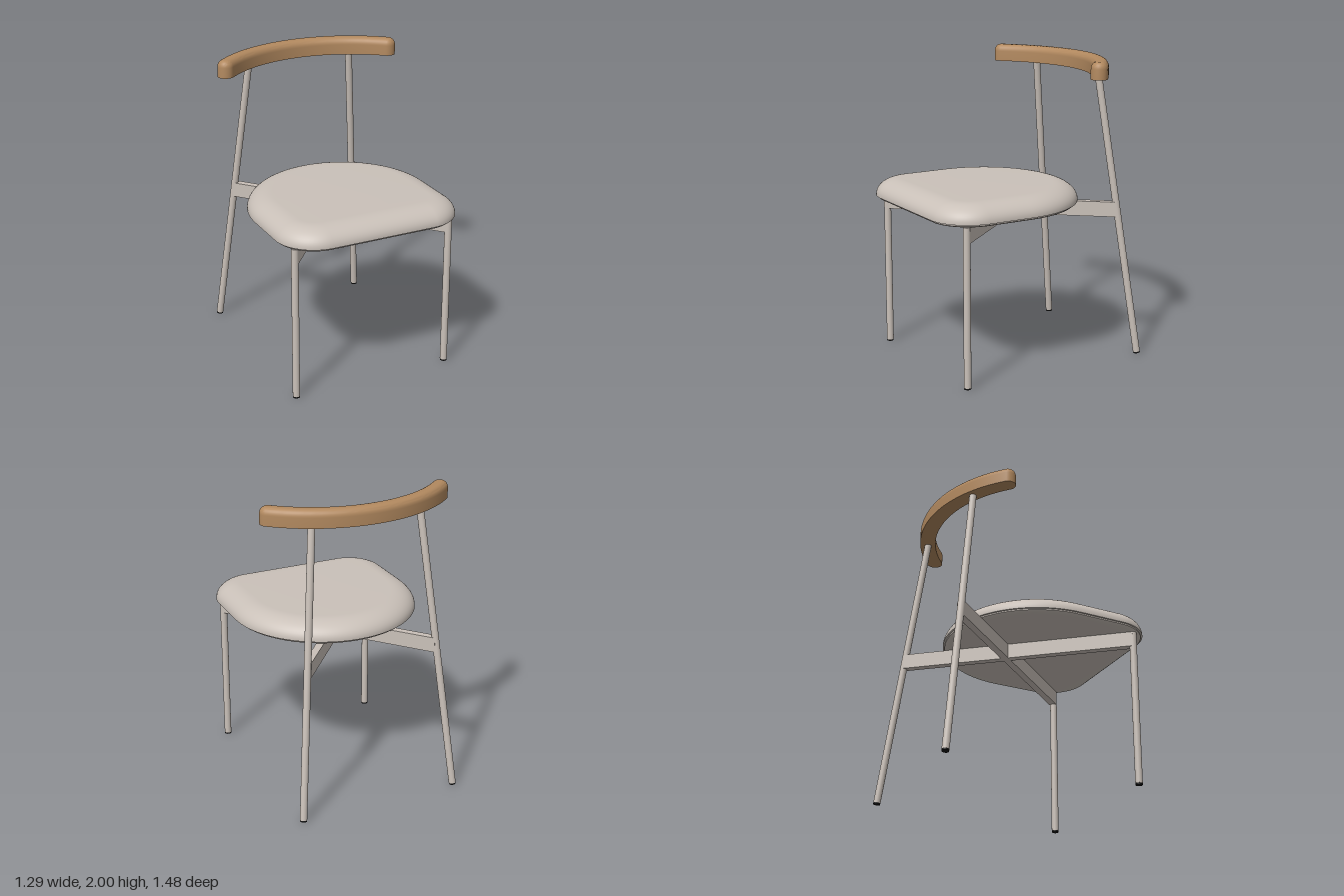
import * as THREE from 'three';
import { toCreasedNormals } from 'three/addons/utils/BufferGeometryUtils.js';

const mat = (name, color) => new THREE.MeshStandardMaterial({ name, color });

// Points on an arc in the xz plane, without its last point
function arc(cx, cz, r, a0, a1, n) {
  return Array.from({ length: n }, (_, i) => {
    const a = a0 + ((a1 - a0) * i) / n;
    return new THREE.Vector2(cx + r * Math.cos(a), cz + r * Math.sin(a));
  });
}

// Solid made of stacked outlines; profile holds [inset, y] from bottom to top
function loft(outline, profile) {
  const rings = profile.map(([inset]) => outline(inset));
  const n = rings[0].length;
  const pos = [], index = [];
  rings.forEach((ring, k) => ring.forEach((p) => pos.push(p.x, profile[k][1], p.y)));
  for (let k = 0; k < rings.length - 1; k++) {
    for (let j = 0; j < n; j++) {
      const a = k * n + j, b = k * n + ((j + 1) % n);
      index.push(a, a + n, b, b, a + n, b + n);
    }
  }
  for (const [k, up] of [[0, false], [rings.length - 1, true]]) {
    const ring = rings[k];
    for (const [a, b, c] of THREE.ShapeUtils.triangulateShape(ring, [])) {
      const turn = ring[b].clone().sub(ring[a]).cross(ring[c].clone().sub(ring[a]));
      const tri = (turn < 0) === up ? [a, b, c] : [a, c, b];
      index.push(...tri.map((i) => i + k * n));
    }
  }
  const geo = new THREE.BufferGeometry();
  geo.setAttribute('position', new THREE.Float32BufferAttribute(pos, 3));
  geo.setIndex(index);
  return toCreasedNormals(geo, 0.6);
}

// Quarter-ellipse shoulder from [0, y0] to [w, y1]
function shoulder(w, y0, y1, n) {
  return Array.from({ length: n + 1 }, (_, i) => {
    const a = (i / n) * Math.PI / 2;
    return [w * (1 - Math.cos(a)), y0 + (y1 - y0) * Math.sin(a)];
  });
}

export function createModel() {
  const grey = mat('warm grey', 0xcac1b9);
  const wood = mat('wood', 0xb2895f);
  const black = mat('black', 0x141414);
  const group = new THREE.Group();
  const add = (name, geo, material) => {
    const mesh = new THREE.Mesh(geo, material);
    mesh.name = name;
    group.add(mesh);
    return mesh;
  };

  // Round rod between two points
  const rod = (name, from, to, r, material) => {
    const dir = to.clone().sub(from);
    const mesh = add(name, new THREE.CylinderGeometry(r, r, dir.length(), 24), material);
    mesh.position.copy(from).addScaledVector(dir, 0.5);
    mesh.quaternion.setFromUnitVectors(new THREE.Vector3(0, 1, 0), dir.normalize());
  };

  // Padded seat: rounded front corners, half-round back, narrow base under the lip
  const PI = Math.PI;
  const seatOutline = (d) => [
    ...arc(0.355, 0.47, 0.27 - d, 0, PI / 2, 16),
    ...arc(-0.355, 0.47, 0.27 - d, PI / 2, PI, 16),
    ...arc(0, 0.165, 0.625 - d, PI, 2 * PI, 48),
    new THREE.Vector2(0.625 - d, 0.165),
  ];
  add('seat', loft(seatOutline, [
    [0.04, 1.046], [0.02, 1.05], [0.012, 1.057], [0.012, 1.066], [0, 1.066],
    ...shoulder(0.16, 1.072, 1.18, 12),
  ]), grey);

  // Curved backrest with round ends and softened top edge
  const R = 0.866, zc = 0.294, half = 0.749, w = 0.053;
  const e1 = -PI / 2 + half, e2 = -PI / 2 - half;
  const backOutline = (d) => [
    ...arc(0, zc, R + w - d, e2, e1, 40),
    ...arc(R * Math.cos(e1), zc + R * Math.sin(e1), w - d, e1, e1 + PI, 16),
    ...arc(0, zc, R - w + d, e1, e2, 40),
    ...arc(R * Math.cos(e2), zc + R * Math.sin(e2), w - d, e2 + PI, e2 + 2 * PI, 16),
  ];
  add('backrest', loft(backOutline, [[0, 1.888], ...shoulder(0.04, 1.955, 2, 8)]), wood);

  for (const [side, s] of [['left', 1], ['right', -1]]) {
    // Legs with black foot caps
    const legs = [
      ['FrontLeg', new THREE.Vector3(s * 0.547, 0, 0.594), new THREE.Vector3(s * 0.547, 1.046, 0.594)],
      ['BackLeg', new THREE.Vector3(s * 0.545, 0.002, -0.718), new THREE.Vector3(s * 0.368, 1.92, -0.483)],
    ];
    for (const [name, foot, top] of legs) {
      const ankle = foot.clone().lerp(top, 0.01 / top.y);
      rod(side + name, ankle, top, 0.0235, grey);
      rod(side + name + 'Foot', foot, ankle, 0.0225, black);
    }

    // Diagonal rail from the front leg to the opposite back leg
    const a = new THREE.Vector3(s * 0.547, 0.995, 0.594);
    const b = new THREE.Vector3(-s * 0.453, 0.995, -0.597);
    const rail = add(side + 'CrossRail', new THREE.BoxGeometry(0.048, 0.1, a.distanceTo(b)), grey);
    rail.position.copy(a).lerp(b, 0.5);
    rail.lookAt(b);
  }
  return group;
}
